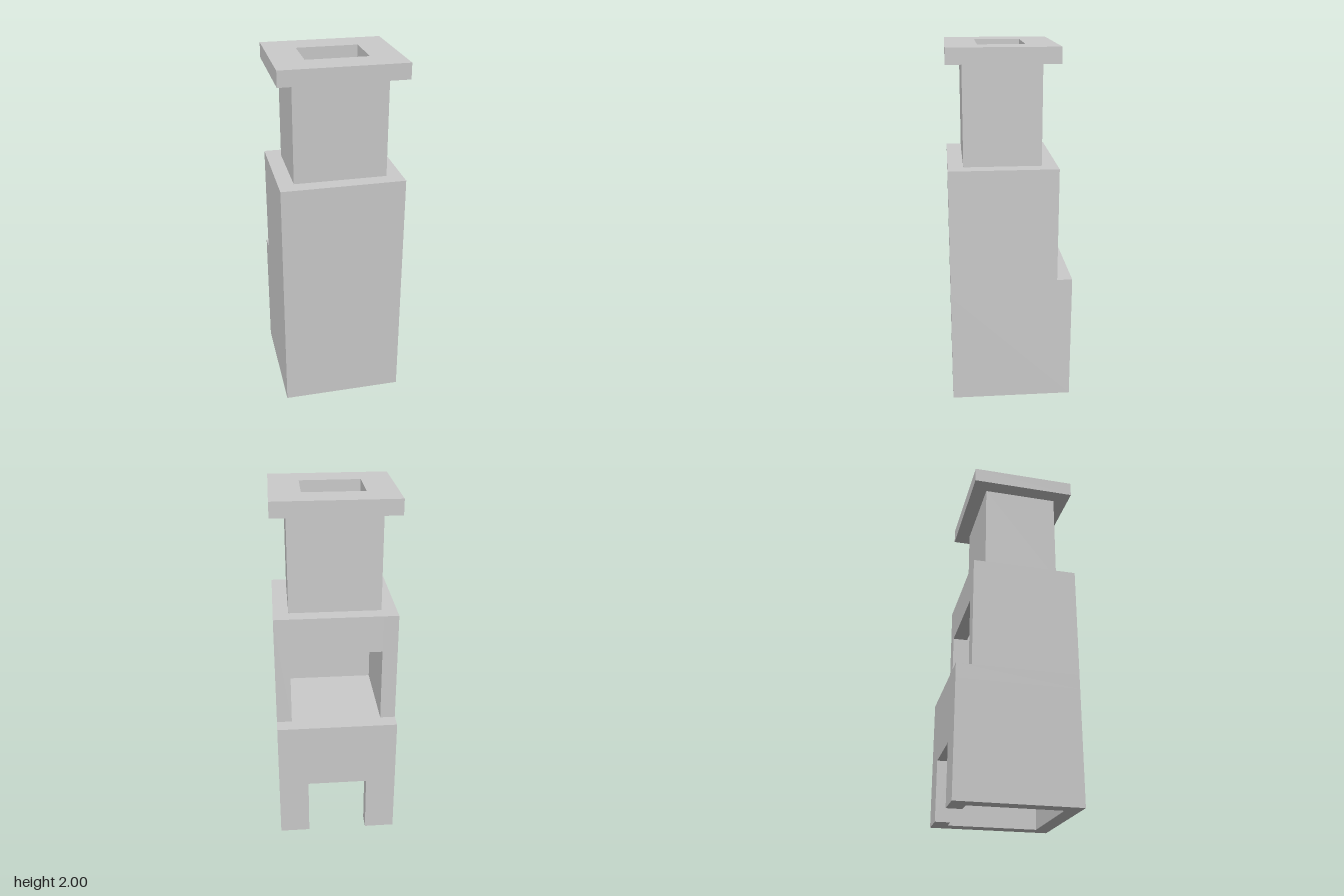
import * as THREE from 'three';

// One masonry course; every size below is a multiple of it
const U = 2 / 23.5;
const material = new THREE.MeshStandardMaterial({ color: 0xcccccc, flatShading: true });

const outline = (points, Type = THREE.Shape) =>
  new Type(points.map(([a, b]) => new THREE.Vector2(a * U, b * U)));

const rect = (halfWidth, back, front) => [
  [-halfWidth, -front], [halfWidth, -front], [halfWidth, -back], [-halfWidth, -back],
];

function extrude(shape, depth) {
  return new THREE.ExtrudeGeometry(shape, { depth: depth * U, bevelEnabled: false });
}

function add(group, name, geometry) {
  const mesh = new THREE.Mesh(geometry, material);
  mesh.name = name;
  group.add(mesh);
}

// Floor plan (x, -z) raised from y0 to y1
function raise(group, name, plan, y0, y1, hole) {
  const shape = outline(plan);
  if (hole) shape.holes.push(outline(hole, THREE.Path));
  add(group, name, extrude(shape, y1 - y0).rotateX(-Math.PI / 2).translate(0, y0 * U, 0));
}

// Front and side walls, open at the back
const wallPlan = (back) => [
  [-4, -4], [4, -4], [4, -back], [3, -back], [3, -3], [-3, -3], [-3, -back], [-4, -back],
];

// Back wall one course thick, with an opening rising from its foot
function backWall(group, name, y0, y1, openHalf, openTop, z) {
  const points = [[-3, y0]];
  if (openHalf < 3) points.push([-openHalf, y0]);
  points.push([-openHalf, openTop], [openHalf, openTop]);
  if (openHalf < 3) points.push([openHalf, y0]);
  points.push([3, y0], [3, y1], [-3, y1]);
  // An opening as wide as the chamber leaves only a lintel
  const shape = openHalf < 3
    ? outline(points)
    : outline([[-3, openTop], [3, openTop], [3, y1], [-3, y1]]);
  add(group, name, extrude(shape, 1).translate(0, 0, z * U));
}

export function createModel() {
  const model = new THREE.Group();
  model.name = 'chimneyStove';

  // Hollow base with a doorway, closed by a hearth slab
  raise(model, 'baseWalls', wallPlan(-4), 0, 7.5);
  backWall(model, 'baseBackWall', 0, 7.5, 2, 4, -4);
  raise(model, 'hearthSlab', rect(4, -4, 4), 7.5, 8.5);

  // Firebox, open at the back beneath a lintel
  raise(model, 'fireboxWalls', wallPlan(-3), 8.5, 16);
  backWall(model, 'fireboxLintel', 8.5, 16, 3, 13.5, -3);

  // Flue and its cap share one shaft
  const shaft = rect(2, -1, 2);
  raise(model, 'flue', rect(3, -2, 3), 16, 22.5, shaft);
  raise(model, 'flueCap', rect(4, -3, 4), 22.5, 23.5, shaft);

  return model;
}
